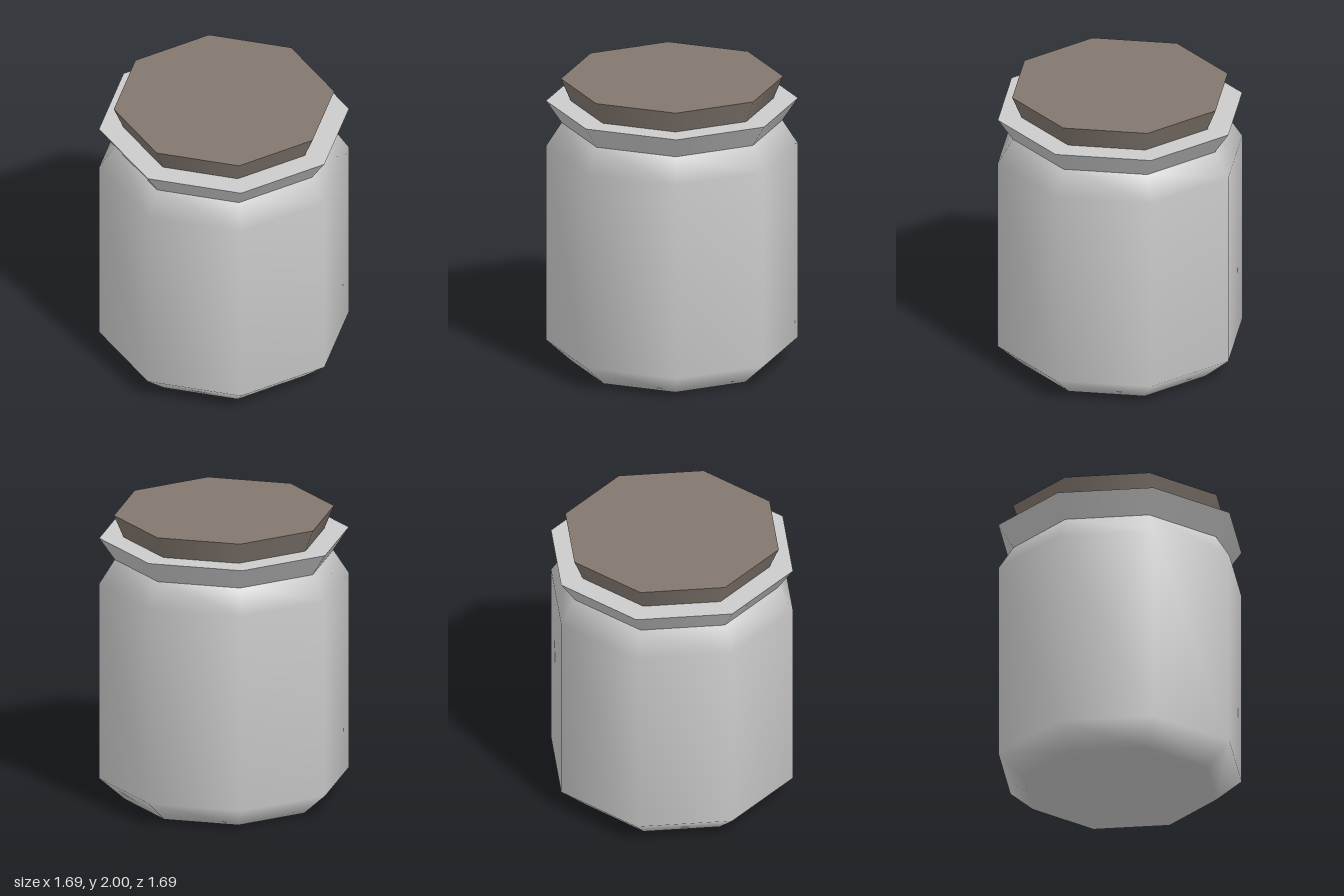
import * as THREE from 'three';

const SIDES = 8;

// Eight-sided turned mesh; smooth within one profile, sharp between profiles
function turned(name, profile, material) {
  const points = profile.map(([r, y]) => new THREE.Vector2(r, y));
  const mesh = new THREE.Mesh(new THREE.LatheGeometry(points, SIDES), material);
  mesh.name = name;
  return mesh;
}

export function createModel() {
  const group = new THREE.Group();
  group.name = 'jar';
  const glass = new THREE.MeshStandardMaterial({ color: 0xcccccc });
  const cork = new THREE.MeshStandardMaterial({ color: 0x83786f });

  // Body: base, bottom chamfer, wall and shoulder blended smoothly
  group.add(turned('body', [[0, 0], [0.67, 0], [0.845, 0.155], [0.845, 1.525], [0.74, 1.69]], glass));

  // Flared rim with a flat top
  group.add(turned('rimFlare', [[0.74, 1.69], [0.845, 1.845]], glass));
  group.add(turned('rimTop', [[0.845, 1.845], [0.68, 1.845]], glass));

  // Tapered stopper
  group.add(turned('stopperSide', [[0.68, 1.845], [0.745, 2]], cork));
  group.add(turned('stopperTop', [[0.745, 2], [0, 2]], cork));

  return group;
}
